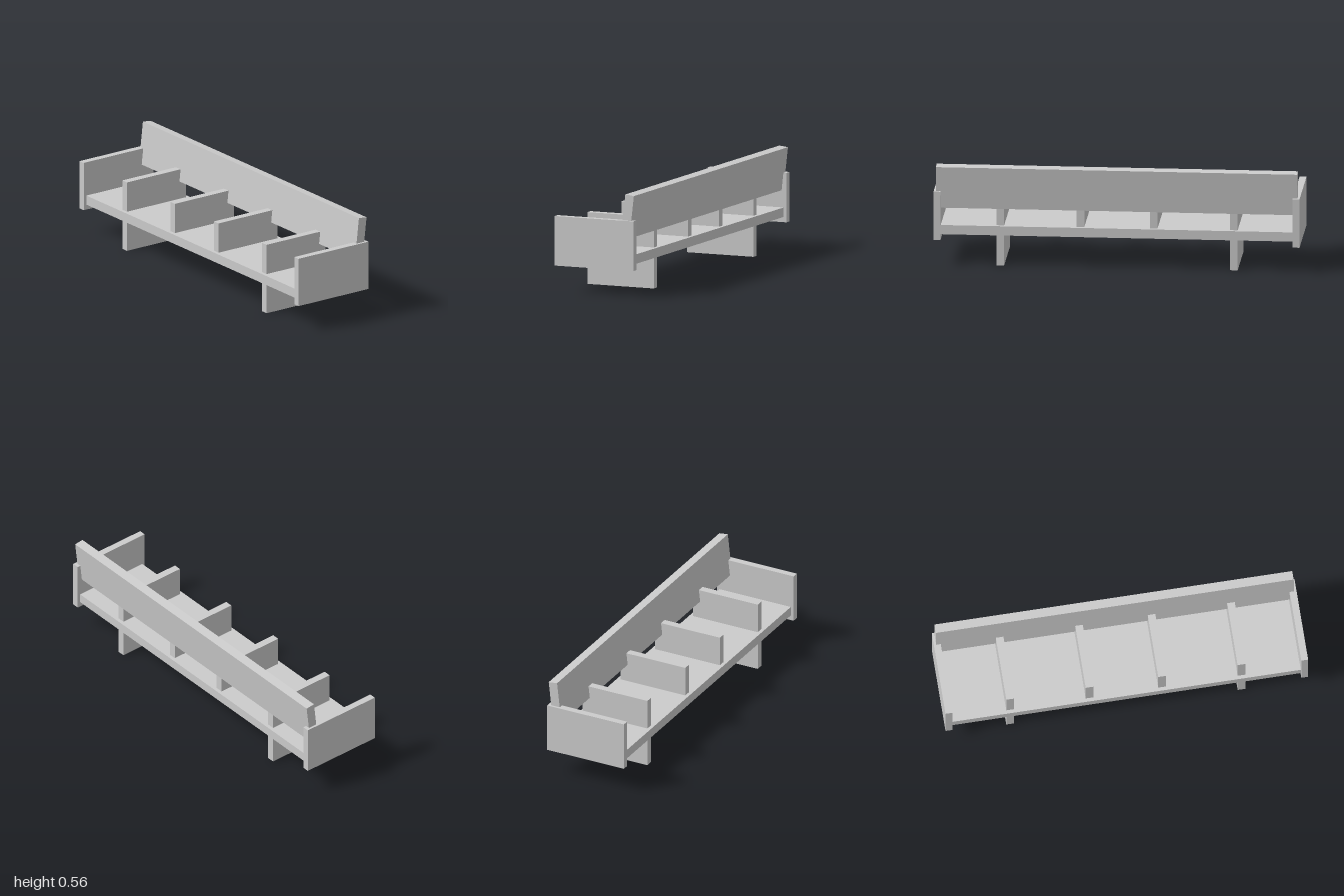
import * as THREE from 'three';

export function createModel() {
  const group = new THREE.Group();
  const material = new THREE.MeshStandardMaterial({ color: 0xcccccc, flatShading: true });

  // Box board given by its size and centre
  function board(name, [w, h, d], [x, y, z]) {
    const mesh = new THREE.Mesh(new THREE.BoxGeometry(w, h, d), material);
    mesh.name = name;
    mesh.position.set(x, y, z);
    group.add(mesh);
    return mesh;
  }

  // Long seat plank
  board('seat', [1.96, 0.052, 0.44], [0, 0.2, 0]);

  // Backrest leaning slightly backwards
  const backrest = board('backrest', [1.974, 0.237, 0.052], [0, 0.441, -0.195]);
  backrest.rotation.x = -0.113;

  for (const [side, s] of [['left', 1], ['right', -1]]) {
    // End panel closing the bench
    board(`${side}EndPanel`, [0.038, 0.273, 0.474], [s * 0.981, 0.2815, 0]);
    // Leg under the seat
    board(`${side}Leg`, [0.042, 0.176, 0.4], [s * 0.638, 0.088, 0]);
    // Armrests dividing the places
    board(`${side}OuterArmrest`, [0.042, 0.171, 0.4], [s * 0.638, 0.3095, 0]);
    board(`${side}InnerArmrest`, [0.042, 0.171, 0.4], [s * 0.2, 0.3095, 0]);
  }

  return group;
}
